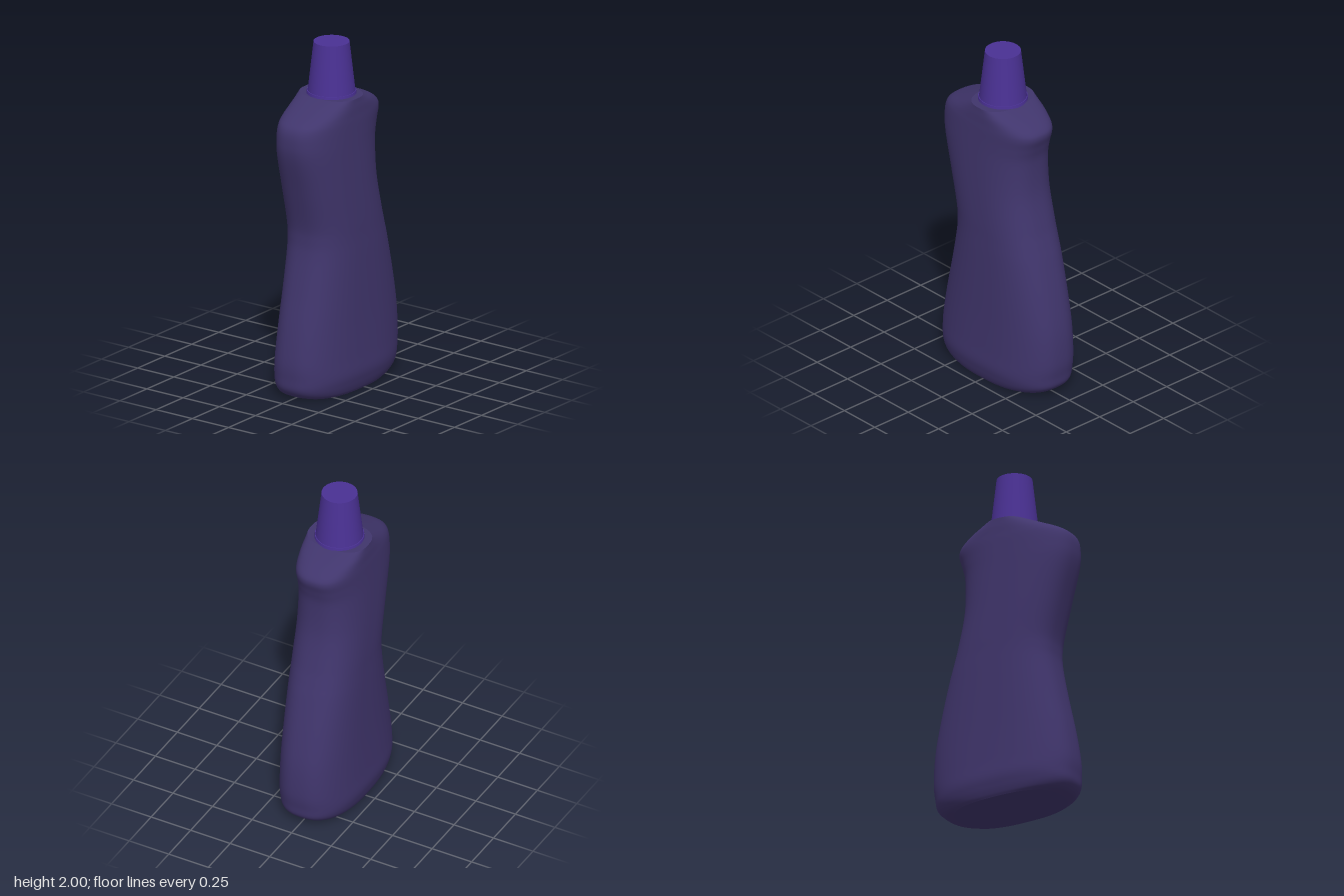
import * as THREE from 'three';

// Bottle sections: [y, front z, back z, half width]
const SECTIONS = [
  [0, 0.36, -0.31, 0.19], [0.02, 0.41, -0.37, 0.2], [0.06, 0.44, -0.415, 0.212],
  [0.12, 0.445, -0.427, 0.222], [0.22, 0.444, -0.438, 0.218], [0.4, 0.415, -0.427, 0.212],
  [0.6, 0.37, -0.387, 0.208], [0.8, 0.328, -0.335, 0.205], [0.9, 0.318, -0.305, 0.203],
  [1.0, 0.327, -0.277, 0.202], [1.2, 0.377, -0.237, 0.197], [1.4, 0.432, -0.235, 0.191],
  [1.5, 0.442, -0.255, 0.188], [1.57, 0.43, -0.276, 0.186], [1.61, 0.39, -0.263, 0.184],
  [1.65, 0.305, -0.205, 0.183], [1.68, 0.235, -0.137, 0.181], [1.7, 0.185, -0.085, 0.18],
];

// Loft of superellipse rings with flat caps at both ends
function bottleGeometry(rings = 102, sides = 64, power = 2.6) {
  const edge = (k) => new THREE.CatmullRomCurve3(
    SECTIONS.map((s) => new THREE.Vector3(s[3], s[0], s[k])), false, 'catmullrom', 0.5);
  const front = edge(1), back = edge(2);
  const positions = [], index = [];
  const addRing = (t) => {
    const f = front.getPoint(t), b = back.getPoint(t);
    const mid = (f.z + b.z) / 2, half = (f.z - b.z) / 2;
    const round = (v) => Math.sign(v) * Math.abs(v) ** (2 / power);
    const start = positions.length / 3;
    for (let j = 0; j < sides; j++) {
      const a = (j / sides) * Math.PI * 2;
      positions.push(f.x * round(Math.cos(a)), f.y, mid + half * round(Math.sin(a)));
    }
    return { start, y: f.y, mid };
  };

  for (let i = 0; i <= rings; i++) {
    const { start } = addRing(i / rings);
    if (i === 0) continue;
    for (let j = 0; j < sides; j++) {
      const k = (j + 1) % sides, low = start - sides;
      index.push(low + j, start + j, low + k, low + k, start + j, start + k);
    }
  }
  // Caps have their own vertices so that their rims stay sharp
  for (const t of [0, 1]) {
    const { start, y, mid } = addRing(t);
    const centre = positions.length / 3;
    positions.push(0, y, mid);
    for (let j = 0; j < sides; j++) {
      const a = start + j, b = start + (j + 1) % sides;
      index.push(centre, t ? b : a, t ? a : b);
    }
  }
  const geometry = new THREE.BufferGeometry();
  geometry.setAttribute('position', new THREE.Float32BufferAttribute(positions, 3));
  geometry.setIndex(index);
  geometry.computeVertexNormals();
  return geometry;
}

export function createModel() {
  const bodyColour = new THREE.MeshStandardMaterial({ color: 0x40356c });
  bodyColour.name = 'dark violet';
  const capColour = new THREE.MeshStandardMaterial({ color: 0x4a3194 });
  capColour.name = 'bright violet';

  const model = new THREE.Group();
  model.name = 'squeezeBottle';
  const add = (name, geometry, material, y = 0, z = 0) => {
    const mesh = new THREE.Mesh(geometry, material);
    mesh.name = name;
    mesh.position.set(0, y, z);
    model.add(mesh);
  };

  add('bottle', bottleGeometry(), bodyColour);
  // Thin collar under a tapered cap
  add('collar', new THREE.CylinderGeometry(0.137, 0.14, 0.02, 64), capColour, 1.705, 0.047);
  add('cap', new THREE.CylinderGeometry(0.1, 0.134, 0.3, 64), capColour, 1.85, 0.047);
  return model;
}
